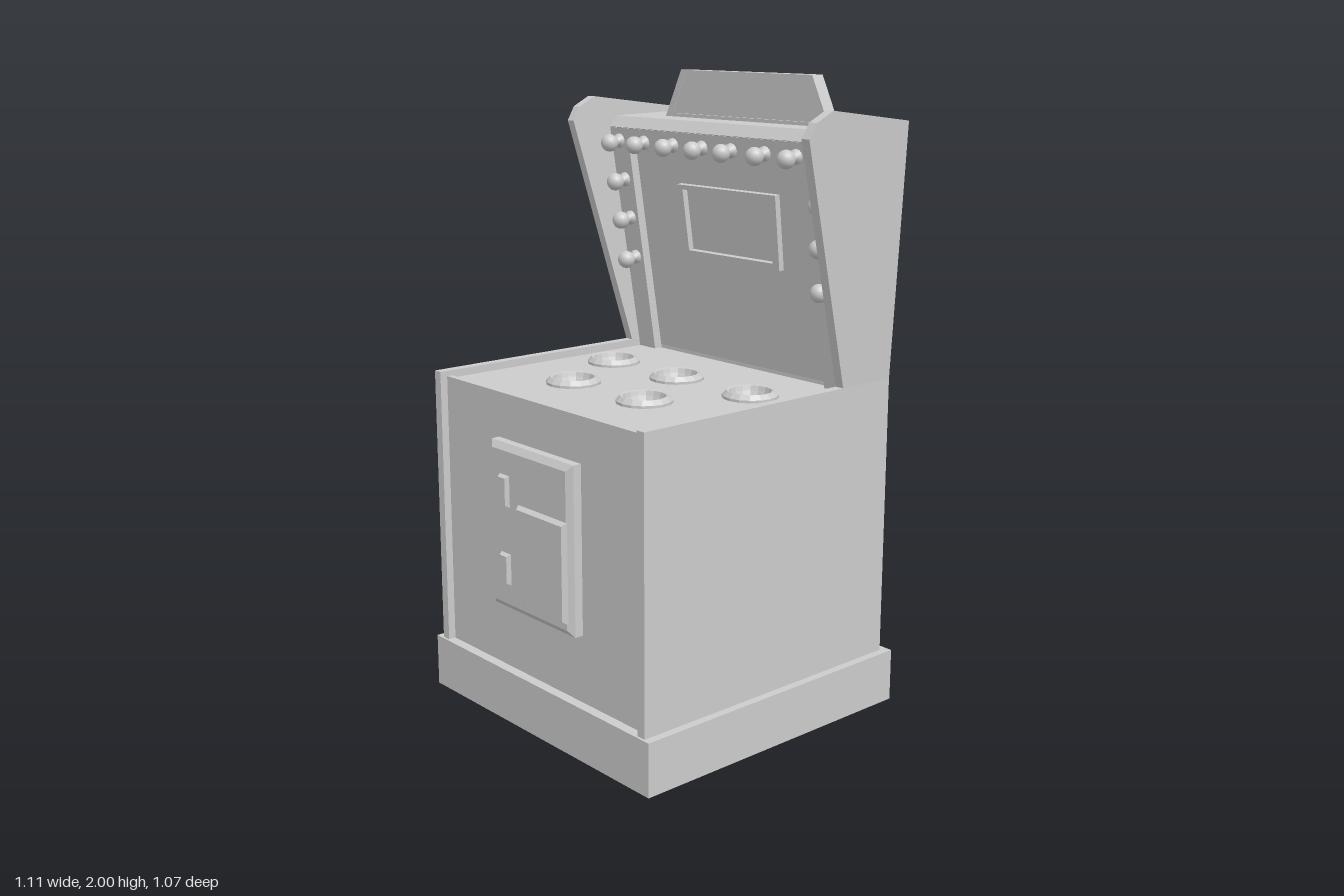
import * as THREE from 'three';
import { toCreasedNormals } from 'three/addons/utils/BufferGeometryUtils.js';

const material = new THREE.MeshStandardMaterial({ color: 0xcccccc });

function add(parent, name, geometry, x = 0, y = 0, z = 0) {
  const mesh = new THREE.Mesh(geometry, material);
  mesh.name = name;
  mesh.position.set(x, y, z);
  parent.add(mesh);
  return mesh;
}

// Box given by its limits
function addBox(parent, name, [x0, x1], [y0, y1], [z0, z1]) {
  return add(parent, name, new THREE.BoxGeometry(x1 - x0, y1 - y0, z1 - z0),
    (x0 + x1) / 2, (y0 + y1) / 2, (z0 + z1) / 2);
}

// Box whose front face is drawn in to give a bevel
function addBevelBox(parent, name, [x0, x1], [y0, y1], [z0, z1], inset) {
  const mesh = addBox(parent, name, [x0, x1], [y0, y1], [z0, z1]);
  const p = mesh.geometry.attributes.position;
  for (let i = 0; i < p.count; i++) {
    if (p.getZ(i) < 0) continue;
    p.setX(i, p.getX(i) - Math.sign(p.getX(i)) * inset);
    p.setY(i, p.getY(i) - Math.sign(p.getY(i)) * inset);
  }
  mesh.geometry = mesh.geometry.toNonIndexed();
  mesh.geometry.computeVertexNormals();
  return mesh;
}

const points = (list) => list.map(([x, y]) => new THREE.Vector2(x, y));

function plate(outline, depth, holes = []) {
  const shape = new THREE.Shape(points(outline));
  holes.forEach((h) => shape.holes.push(new THREE.Path(points(h))));
  return new THREE.ExtrudeGeometry(shape, { depth, bevelEnabled: false });
}

// The upper half of the cabinet widens with height
const flare = (y) => Math.max(0, y - 1.075) * 0.054;

// Profile given as [z, y], extruded across x from x0 to x1, then flared
function flaredPrism(profile, x0, x1) {
  const g = plate(profile, x1 - x0);
  g.rotateY(-Math.PI / 2);
  g.translate(x1, 0, 0);
  const p = g.attributes.position;
  for (let i = 0; i < p.count; i++) {
    p.setX(i, p.getX(i) + Math.sign(p.getX(i)) * flare(p.getY(i)));
  }
  g.computeVertexNormals();
  return g;
}

const SLOPE = 0.127;
const faceZ = (y) => -0.235 - (1.81 - y) * SLOPE; // leaning front of the head

function addCabinet(root) {
  addBox(root, 'plinth', [-0.538, 0.538], [0, 0.17], [-0.532, 0.508]);
  addBox(root, 'lowerBody', [-0.481, 0.481], [0.17, 0.97], [-0.49, 0.455]);
  addBox(root, 'lowerBack', [-0.481, 0.481], [0.97, 1.075], [-0.49, -0.36]);
  addBox(root, 'frontPanel', [-0.481, 0.481], [0.17, 1.058], [0.455, 0.475]);

  const upper = [[-0.505, 1.075], [-0.295, 1.075], [-0.08, 1.835], [-0.108, 1.88],
    [-0.172, 1.912], [-0.505, 1.87]];
  [[-0.512, -0.481], [0.481, 0.512]].forEach(([x0, x1], i) => {
    const side = i ? 'left' : 'right';
    addBox(root, side + 'LowerSide', [x0, x1], [0.17, 1.075], [-0.505, 0.5]);
    add(root, side + 'UpperSide', flaredPrism(upper, x0, x1));
  });

  const head = [[-0.49, 1.075], [-0.49, 1.0], [faceZ(1.0) - 0.03, 1.0], [faceZ(1.79) - 0.03, 1.79],
    [faceZ(1.81), 1.81], [-0.265, 1.845], [-0.49, 1.85]];
  add(root, 'head', flaredPrism(head, -0.481, 0.481));
}

function addDeck(root) {
  const cups = [[-0.32, -0.08], [0, -0.075], [0.33, -0.08], [-0.17, 0.208], [0.17, 0.206]];
  const ring = (cx, cz) => Array.from({ length: 16 }, (_, i) => {
    const a = (i / 16) * Math.PI * 2;
    return [cx + 0.07 * Math.cos(a), -cz + 0.07 * Math.sin(a)];
  });
  const deck = plate([[-0.481, -0.455], [0.481, -0.455], [0.481, 0.36], [-0.481, 0.36]], 0.08,
    cups.map(([x, z]) => ring(x, z)));
  deck.rotateX(-Math.PI / 2);
  add(root, 'deck', deck, 0, 0.97, 0);

  // Raised rims with tapering wells
  const profile = points([[0, -0.055], [0.038, -0.055], [0.062, 0.006], [0.066, 0.02],
    [0.074, 0.022], [0.087, 0.008], [0.087, -0.005]].reverse());
  const cup = toCreasedNormals(new THREE.LatheGeometry(profile.reverse(), 16), 0.5);
  // Lathe runs outward, so turn the faces to look up
  const probe = cup.attributes.normal;
  let up = 0;
  for (let i = 0; i < probe.count; i++) up += probe.getY(i);
  if (up < 0) {
    const p = cup.attributes.position;
    for (let i = 0; i < p.count; i++) p.setX(i, -p.getX(i));
    cup.deleteAttribute('normal');
    cup.computeVertexNormals();
  }
  cups.forEach(([x, z]) => add(root, 'cup', cup, x, 1.05, z));
}

function addDisplay(root) {
  const face = new THREE.Group();
  face.name = 'displayFace';
  face.position.set(0, 1.06, faceZ(1.06));
  face.rotation.x = Math.atan(SLOPE);
  root.add(face);

  // Surround, open at the bottom
  add(face, 'surround', plate([[-0.481, -0.02], [-0.40, -0.02], [-0.43, 0.685], [0.43, 0.685],
    [0.40, -0.02], [0.481, -0.02], [0.52, 0.754], [-0.52, 0.754]], 0.04), 0, 0, -0.04);

  add(face, 'screenBezel', plate([[-0.208, 0.34], [0.23, 0.34], [0.235, 0.58], [-0.217, 0.58]], 0.035,
    [[[-0.186, 0.362], [0.202, 0.362], [0.206, 0.565], [-0.192, 0.565]]]), 0, 0, -0.045);

  // Round bulbs on flared sockets
  const bulb = new THREE.SphereGeometry(0.029, 16, 12);
  const socket = new THREE.LatheGeometry(points([[0.024, -0.005], [0.024, 0.008], [0.014, 0.014],
    [0.017, 0.03]]), 12);
  socket.rotateX(Math.PI / 2);
  const spots = [-0.475, -0.348, -0.205, -0.066, 0.068, 0.216, 0.35, 0.468].map((x) => [x, 1.77]);
  [[0.466, 1.64], [0.457, 1.51], [0.45, 1.375]].forEach(([x, y]) => spots.push([x, y], [-x, y]));
  spots.forEach(([x, y]) => {
    const ly = (y - 1.065) * Math.hypot(1, SLOPE);
    add(face, 'bulb', bulb, x, ly, 0.046);
    add(face, 'bulbSocket', socket, x, ly, 0);
  });
}

function addMarquee(root) {
  const outline = [[-0.375, 1.84], [0.375, 1.84], [0.297, 2], [-0.297, 2]];
  const opening = [[-0.34, 1.858], [0.34, 1.858], [0.285, 1.983], [-0.285, 1.983]];
  add(root, 'marqueeRim', plate(outline, 0.046, [opening]), 0, 0, -0.401);
  add(root, 'marqueePanel', plate(opening, 0.026), 0, 0, -0.391);
}

function addCoinDoor(root) {
  addBox(root, 'coinDoorFrame', [-0.202, 0.202], [0.385, 0.915], [0.475, 0.503]);
  addBevelBox(root, 'coinDoor', [-0.202, 0.202], [0.385, 0.915], [0.503, 0.518], 0.02);
  addBevelBox(root, 'coinFlap', [-0.052, 0.188], [0.425, 0.74], [0.518, 0.533], 0.01);
  [0.47, 0.72].forEach((y) => {
    addBevelBox(root, 'coinSlot', [-0.143, -0.095], [y, y + 0.1], [0.518, 0.531], 0.007);
  });
}

function addBackDoor(root) {
  // Door with a hand recess that narrows downward
  add(root, 'backDoor', plate([[-0.27, 0.2], [0.27, 0.2], [0.27, 0.95], [-0.27, 0.95]], 0.03,
    [[[0.07, 0.8], [0.2, 0.8], [0.23, 0.885], [0.04, 0.885]]]), 0, 0, -0.52);
  [0.33, 0.79].forEach((y) => {
    [-0.025, 0.025].forEach((dy) => {
      add(root, 'hinge', new THREE.CylinderGeometry(0.01, 0.01, 0.045, 10), -0.278, y + dy, -0.502);
    });
  });
}

export function createModel() {
  const root = new THREE.Group();
  root.name = 'arcadeCabinet';
  [addCabinet, addDeck, addDisplay, addMarquee, addCoinDoor, addBackDoor].forEach((f) => f(root));
  return root;
}
